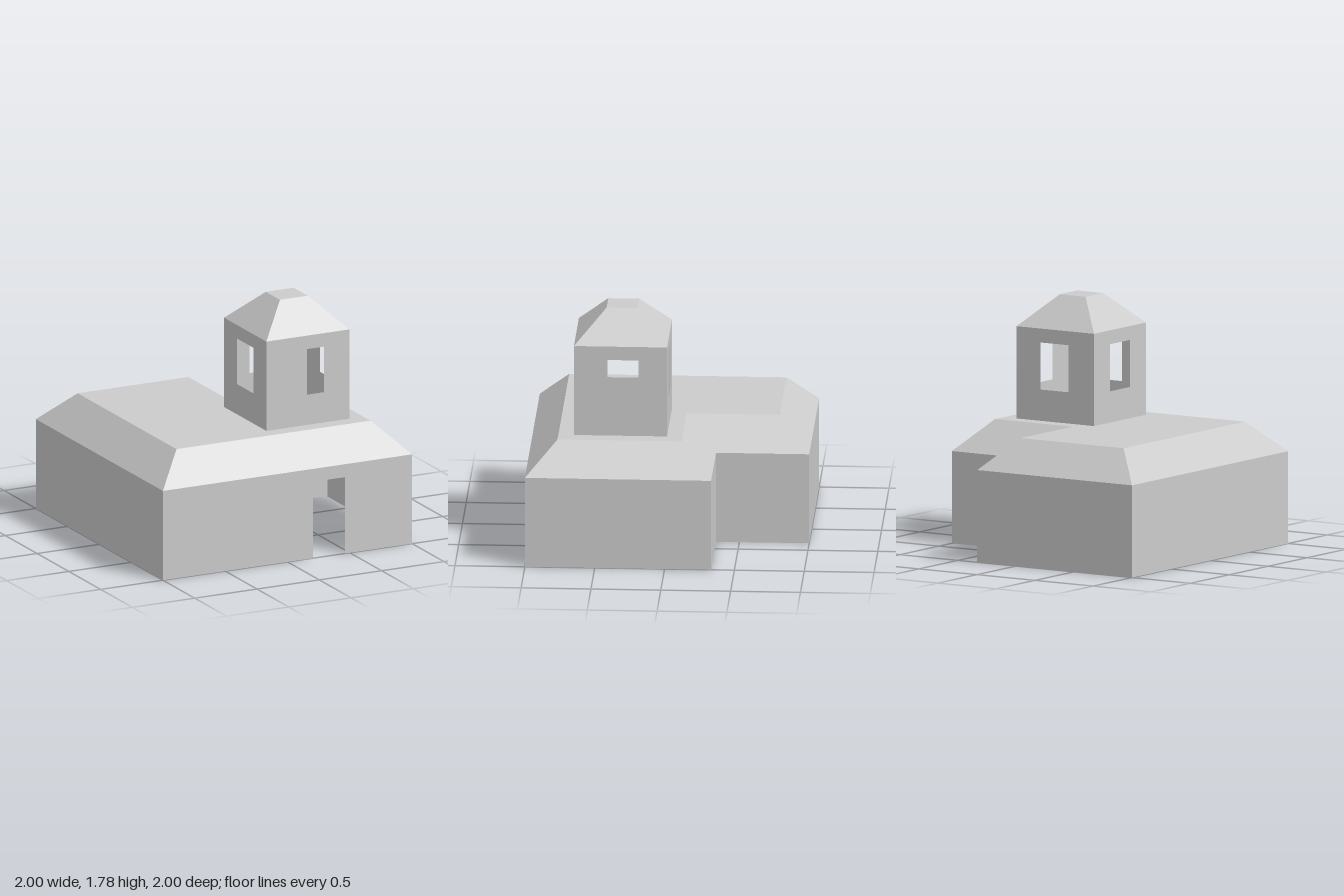
import * as THREE from 'three';

const material = new THREE.MeshStandardMaterial({ color: 0xcccccc, flatShading: true, side: THREE.DoubleSide });

function addMesh(parent, name, geometry) {
  const mesh = new THREE.Mesh(geometry, material);
  mesh.name = name;
  parent.add(mesh);
  return mesh;
}

const points = (list) => list.map(([x, y]) => new THREE.Vector2(x, y));

// Thin upright wall from a to b (x, z), outward side to the right of travel
function addWall(parent, name, a, b, y, height, cut) {
  const dx = b[0] - a[0], dz = b[1] - a[1], length = Math.hypot(dx, dz);
  let outline = [[0, 0], [length, 0], [length, height], [0, height]];
  let hole = null;
  if (cut) {
    const { x0, x1, y0, y1 } = cut;
    const rect = [[x0, y0], [x0, y1], [x1, y1], [x1, y0]];
    if (y0 === 0) outline = [[0, 0], ...rect, ...outline.slice(1)];
    else hole = rect;
  }
  const shape = new THREE.Shape(points(outline));
  if (hole) shape.holes.push(new THREE.Path(points(hole)));
  const wall = addMesh(parent, name, new THREE.ShapeGeometry(shape));
  wall.position.set(a[0], y, a[1]);
  wall.rotation.y = Math.atan2(-dz, dx);
}

// Hipped roof with a flat top: each right-angled corner moves in by inset
function addRoof(parent, name, plan, y, height, inset) {
  const n = plan.length;
  const inward = plan.map((a, i) => {
    const b = plan[(i + 1) % n];
    const dx = b[0] - a[0], dz = b[1] - a[1], length = Math.hypot(dx, dz);
    return [dz / length, -dx / length];
  });
  const top = plan.map((p, i) => {
    const before = inward[(i + n - 1) % n], after = inward[i];
    return [p[0] + inset * (before[0] + after[0]), p[1] + inset * (before[1] + after[1])];
  });
  const positions = [];
  for (let i = 0; i < n; i++) {
    const j = (i + 1) % n;
    const at = ([x, z], h) => [x, h, z];
    const a = at(plan[i], y), b = at(plan[j], y);
    const c = at(top[j], y + height), d = at(top[i], y + height);
    positions.push(...a, ...b, ...c, ...a, ...c, ...d);
  }
  const slopes = new THREE.BufferGeometry();
  slopes.setAttribute('position', new THREE.Float32BufferAttribute(positions, 3));
  slopes.computeVertexNormals();
  addMesh(parent, name + 'Slopes', slopes);

  const cap = new THREE.ShapeGeometry(new THREE.Shape(points(top.map(([x, z]) => [x, -z]))));
  cap.rotateX(-Math.PI / 2);
  cap.translate(0, y + height, 0);
  addMesh(parent, name + 'Top', cap);
}

// Walls around a plan plus the roof above; cuts lists the opening of each wall
function building(name, plan, y, wallHeight, roofHeight, cuts) {
  const group = new THREE.Group();
  group.name = name;
  plan.forEach((a, i) => addWall(group, name + 'Wall' + (i + 1), a, plan[(i + 1) % plan.length], y, wallHeight, cuts[i]));
  addRoof(group, name + 'Roof', plan, y + wallHeight, roofHeight, roofHeight);
  return group;
}

export function createModel() {
  const model = new THREE.Group();
  model.name = 'churchWithBellTower';
  const t = 1 / 3, rise = 2 / 9;

  // L-shaped hall with a doorway in the front wall
  const hallPlan = [[-1, 1], [1, 1], [1, -t], [t, -t], [t, -1], [-1, -1]];
  const door = { x0: 1.205, x1: 1.461, y0: 0, y1: 0.57 };
  model.add(building('hall', hallPlan, 0, 2 * t, rise, [door]));

  // Square bell tower with a window in every wall
  const towerPlan = [[0, 2 * t], [2 * t, 2 * t], [2 * t, 0], [0, 0]];
  const window = { x0: 0.205, x1: 0.461, y0: 0.226, y1: 0.566 };
  model.add(building('tower', towerPlan, 2 * t + rise, 2 * t, rise, [window, window, window, window]));

  return model;
}
